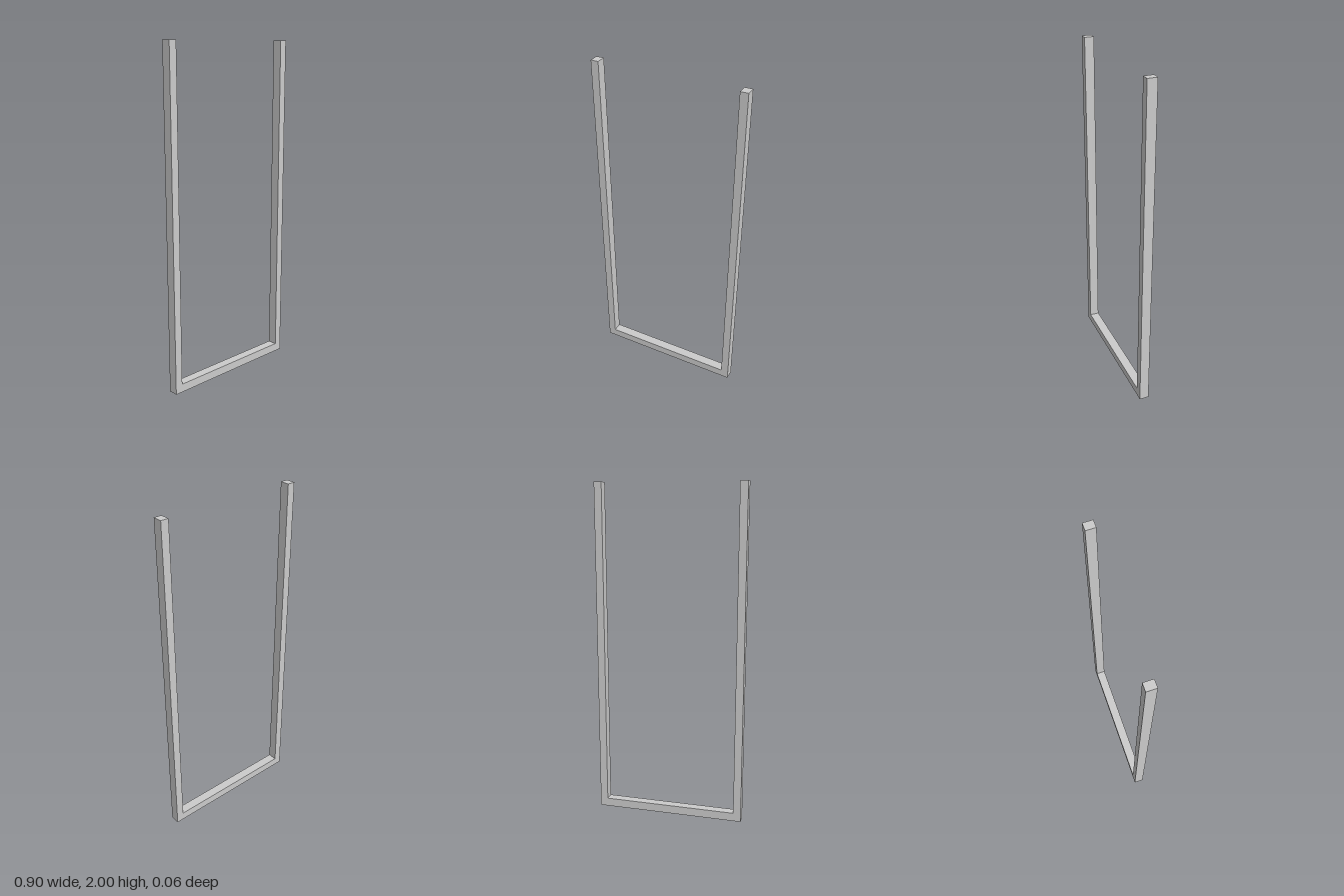
import * as THREE from 'three';

const HALF_WIDTH = 0.449, INNER = 0.403, HEIGHT = 2, SILL = 0.05, DEPTH = 0.057;

export function createModel() {
  const group = new THREE.Group();
  group.name = 'openFrame';
  const material = new THREE.MeshStandardMaterial({ color: 0xcccccc });

  // U-shaped outline: two tall posts joined by a bottom rail
  const outline = new THREE.Shape([
    [-HALF_WIDTH, 0], [HALF_WIDTH, 0], [HALF_WIDTH, HEIGHT], [INNER, HEIGHT],
    [INNER, SILL], [-INNER, SILL], [-INNER, HEIGHT], [-HALF_WIDTH, HEIGHT],
  ].map(([x, y]) => new THREE.Vector2(x, y)));

  const geometry = new THREE.ExtrudeGeometry(outline, { depth: DEPTH, bevelEnabled: false });
  geometry.translate(0, 0, -DEPTH / 2);

  const frame = new THREE.Mesh(geometry, material);
  frame.name = 'postsAndBottomRail';
  group.add(frame);
  return group;
}
